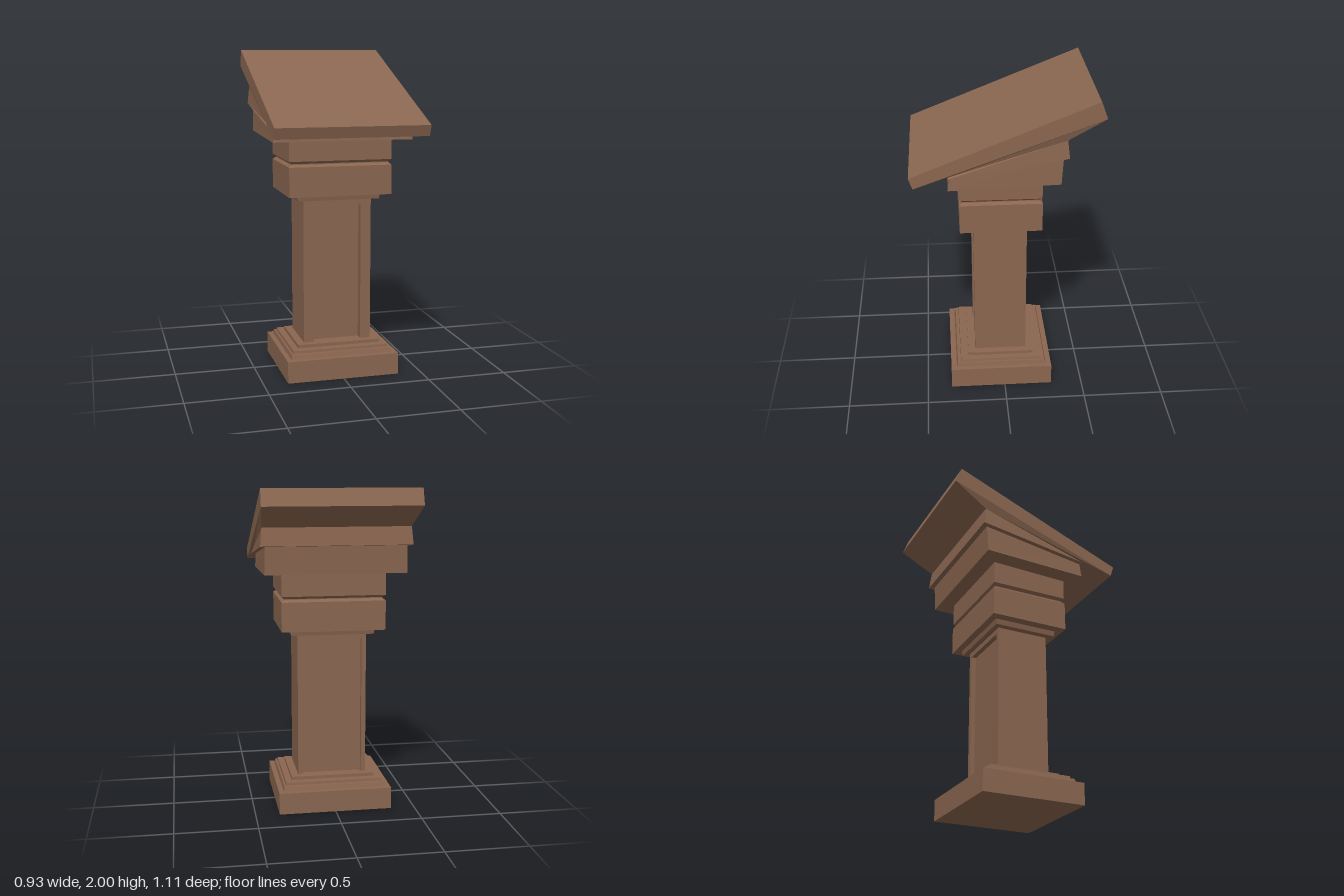
import * as THREE from 'three';

const wood = new THREE.MeshStandardMaterial({ color: 0x8a6650, flatShading: true, roughness: 0.9 });

// Stack of four-cornered rings, bottom to top: [half width, front z, front y, back z, back y]
function loft(name, rings) {
  const pos = [];
  const corners = rings.map(([w, fz, fy, bz, by]) => [
    [w, fy, fz], [w, by, bz], [-w, by, bz], [-w, fy, fz],
  ]);
  const quad = (a, b, c, d) => pos.push(...a, ...b, ...c, ...a, ...c, ...d);
  for (let r = 0; r < corners.length - 1; r++) {
    const lo = corners[r], hi = corners[r + 1];
    for (let i = 0; i < 4; i++) {
      const j = (i + 1) % 4;
      quad(lo[i], lo[j], hi[j], hi[i]);
    }
  }
  quad(...[...corners[0]].reverse());
  quad(...corners[corners.length - 1]);
  const g = new THREE.BufferGeometry();
  g.setAttribute('position', new THREE.Float32BufferAttribute(pos, 3));
  g.computeVertexNormals();
  const mesh = new THREE.Mesh(g, wood);
  mesh.name = name;
  return mesh;
}

// Level ring: half width, height, front z, back z
const level = (w, y, fz, bz) => [w, fz, y, bz, y];

export function createModel() {
  const model = new THREE.Group();
  model.name = 'lectern';

  // Plinth with stepped mouldings
  model.add(loft('base', [
    level(0.352, 0, 0.345, -0.302), level(0.352, 0.135, 0.345, -0.302),
    level(0.322, 0.135, 0.31, -0.268), level(0.316, 0.163, 0.302, -0.26),
    level(0.305, 0.163, 0.282, -0.238), level(0.302, 0.18, 0.28, -0.236),
    level(0.262, 0.18, 0.23, -0.187), level(0.262, 0.2, 0.23, -0.187),
  ]));

  // Column with a recessed panel in front and behind
  const section = new THREE.Shape([
    [-0.215, 0.185], [-0.15, 0.185], [-0.15, 0.135], [0.15, 0.135], [0.15, 0.185], [0.215, 0.185],
    [0.215, -0.143], [0.187, -0.143], [0.187, -0.113], [-0.187, -0.113], [-0.187, -0.143], [-0.215, -0.143],
  ].map(([x, z]) => new THREE.Vector2(x, -z)));
  const shaftGeo = new THREE.ExtrudeGeometry(section, { depth: 0.865, bevelEnabled: false });
  shaftGeo.rotateX(-Math.PI / 2);
  const shaft = new THREE.Mesh(shaftGeo, wood);
  shaft.name = 'columnShaft';
  shaft.position.y = 0.2;
  model.add(shaft);
  model.add(loft('columnTopRail', [
    level(0.215, 1.065, 0.185, -0.143), level(0.215, 1.105, 0.185, -0.143),
  ]));

  // Capital: collar, then two blocks parted by a V groove
  model.add(loft('capital', [
    level(0.256, 1.098, 0.22, -0.176), level(0.262, 1.13, 0.225, -0.182),
    level(0.32, 1.13, 0.27, -0.225), level(0.32, 1.312, 0.27, -0.225),
    level(0.302, 1.326, 0.252, -0.207), level(0.302, 1.331, 0.252, -0.207),
    level(0.32, 1.346, 0.265, -0.222), level(0.32, 1.49, 0.265, -0.222),
  ]));

  // Sloping supports under the desk
  model.add(loft('lowerWedge', [
    [0.43, 0.335, 1.47, -0.315, 1.49],
    [0.425, 0.325, 1.565, -0.325, 1.658],
  ]));

  // Upper wedge flaring out into the reading board
  model.add(loft('desk', [
    [0.455, 0.333, 1.556, -0.355, 1.662],
    [0.445, 0.328, 1.565, -0.342, 1.77],
    [0.465, 0.532, 1.506, -0.555, 1.9],
    [0.465, 0.555, 1.572, -0.517, 2.0],
  ]));

  return model;
}
